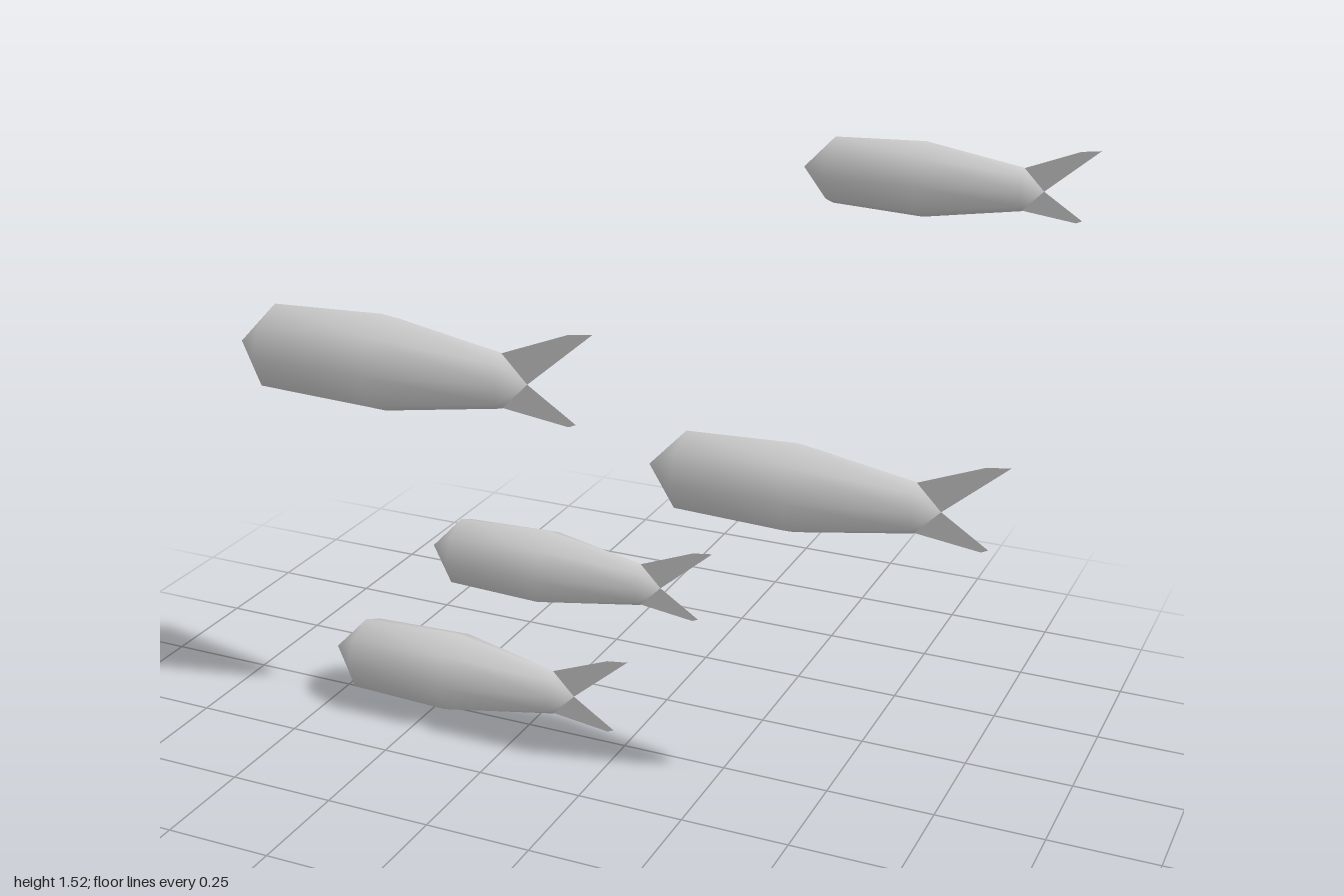
import * as THREE from 'three';

const SIDES = 8;
const NOSE_TO_TAIL = 0.76;
// Body rings behind the nose: x, half height, half width
const RINGS = [[0.1, 0.105, 0.107], [0.39, 0.118, 0.108], [0.695, 0.067, 0.037]];

// Faceted body: octagonal rings closed by a point at the nose and at the tail
function bodyGeometry() {
  const pos = [0, 0, 0];
  for (const [x, ry, rz] of RINGS) {
    for (let i = 0; i < SIDES; i++) {
      const a = (i / SIDES) * Math.PI * 2;
      pos.push(x, ry * Math.cos(a), rz * Math.sin(a));
    }
  }
  pos.push(NOSE_TO_TAIL, 0, 0);
  const tail = 1 + RINGS.length * SIDES;
  const last = tail - SIDES;
  const index = [];
  for (let i = 0; i < SIDES; i++) {
    const j = (i + 1) % SIDES;
    index.push(0, 1 + i, 1 + j);
    for (let r = 0; r < RINGS.length - 1; r++) {
      const a = 1 + r * SIDES, b = a + SIDES;
      index.push(a + i, b + i, b + j, a + i, b + j, a + j);
    }
    index.push(last + i, tail, last + j);
  }
  // Wind every face outward
  for (let t = 0; t < index.length; t += 3) {
    const [a, b, c] = [0, 1, 2].map((k) => new THREE.Vector3().fromArray(pos, index[t + k] * 3));
    const centre = a.clone().add(b).add(c).divideScalar(3);
    const normal = b.clone().sub(a).cross(c.clone().sub(a));
    if (normal.dot(centre.sub(new THREE.Vector3(0.38, 0, 0))) < 0) {
      [index[t + 1], index[t + 2]] = [index[t + 2], index[t + 1]];
    }
  }
  const g = new THREE.BufferGeometry();
  g.setAttribute('position', new THREE.Float32BufferAttribute(pos, 3));
  g.setIndex(index);
  g.computeVertexNormals();
  return g;
}

// Thin flat fin from a few outline points
function finGeometry(points) {
  return new THREE.ShapeGeometry(new THREE.Shape(points.map(([x, y]) => new THREE.Vector2(x, y))));
}

export function createModel() {
  const model = new THREE.Group();
  model.name = 'schoolOfFish';
  const skin = new THREE.MeshStandardMaterial({ color: 0xcccccc });
  const finSkin = new THREE.MeshStandardMaterial({ color: 0xcccccc, side: THREE.DoubleSide });

  const parts = [
    ['body', bodyGeometry(), skin],
    ['upperTailFin', finGeometry([[0.695, 0.065], [0.76, 0], [0.922, 0.139], [0.862, 0.131]]), finSkin],
    ['lowerTailFin', finGeometry([[0.695, -0.065], [0.862, -0.086], [0.88, -0.078], [0.76, 0]]), finSkin],
  ];

  // Each fish: nose x, nose y, scale
  const school = [
    [-1, 0.866, 1],
    [0.06, 0.725, 0.877],
    [-0.495, 0.427, 0.768],
    [-0.777, 0.104, 0.85],
    [0.4, 1.43, 0.65],
  ];
  school.forEach(([x, y, s], i) => {
    const fish = new THREE.Group();
    fish.name = `fish${i + 1}`;
    for (const [name, geometry, material] of parts) {
      const mesh = new THREE.Mesh(geometry, material);
      mesh.name = name;
      fish.add(mesh);
    }
    fish.position.set(x, y, 0);
    fish.scale.setScalar(s);
    model.add(fish);
  });
  return model;
}
